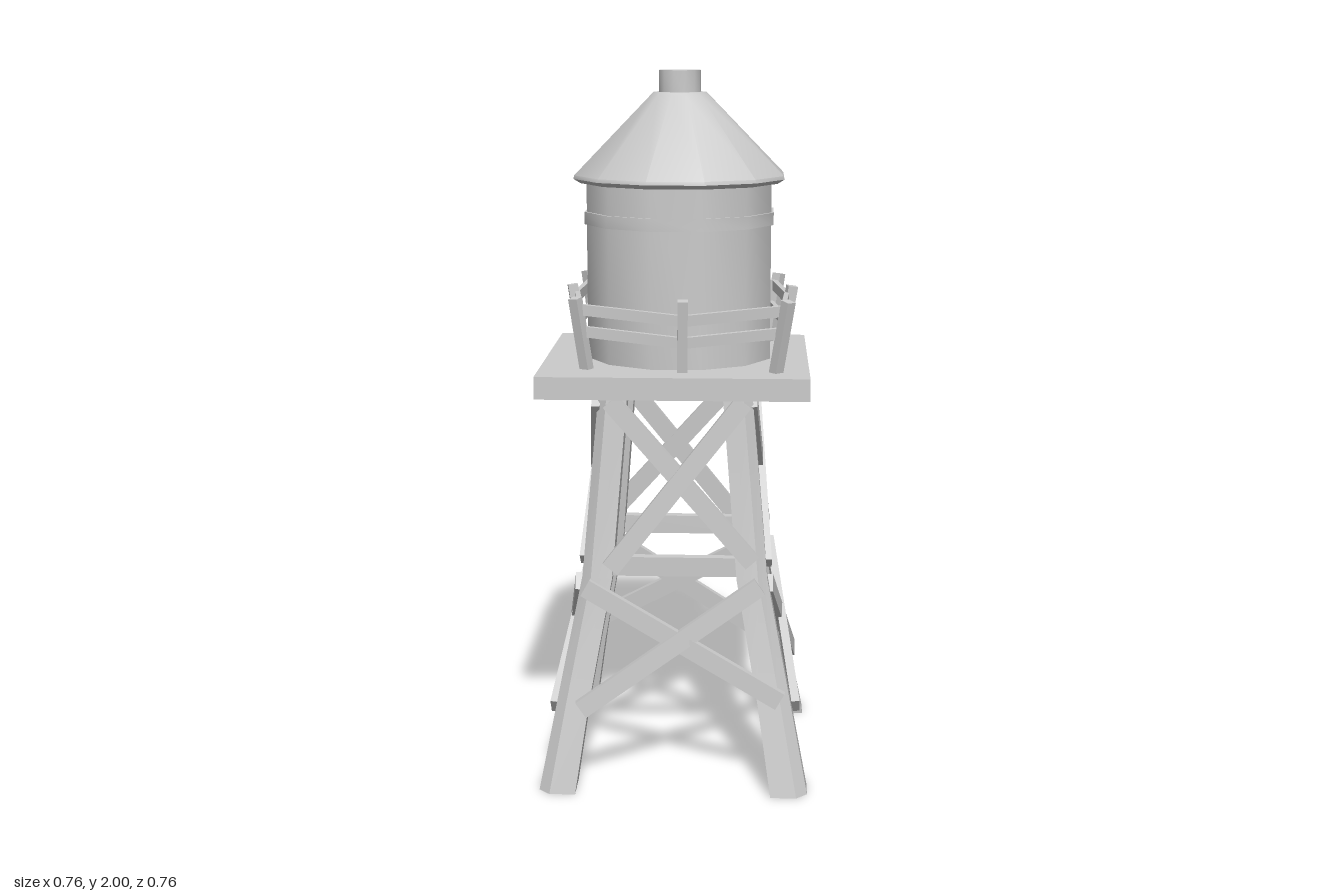
import * as THREE from 'three';
import { toCreasedNormals } from 'three/addons/utils/BufferGeometryUtils.js';

const material = new THREE.MeshStandardMaterial({ color: 0xcccccc });
const V = (x, y, z) => new THREE.Vector3(x, y, z);

function add(parent, name, geometry) {
  const mesh = new THREE.Mesh(geometry, material);
  mesh.name = name;
  parent.add(mesh);
  return mesh;
}

// Box plank running from a to b; its thin side faces "out"
function plank(parent, name, a, b, width, depth, out) {
  const dir = b.clone().sub(a);
  const length = dir.length();
  dir.normalize();
  const side = dir.clone().cross(out).normalize();
  const normal = side.clone().cross(dir);
  const mesh = add(parent, name, new THREE.BoxGeometry(width, length, depth));
  mesh.quaternion.setFromRotationMatrix(new THREE.Matrix4().makeBasis(side, dir, normal));
  mesh.position.copy(a).add(b).multiplyScalar(0.5);
  return mesh;
}

// Twelve-sided turned part with flats facing the axes
function turned(parent, name, profile) {
  const points = profile.map(([r, y]) => new THREE.Vector2(r, y));
  const geometry = new THREE.LatheGeometry(points, 12).rotateY(Math.PI / 12);
  return add(parent, name, toCreasedNormals(geometry, 0.6));
}

// Curved leg: square section with a chamfered outer corner, lofted along rings
// Each ring is [height, centre offset on x and z, half width]
function legGeometry() {
  const rings = [[0, 0.327, 0.052], [0.25, 0.284, 0.046], [0.6, 0.218, 0.043], [1.14, 0.172, 0.041]];
  const section = [[-1, -1], [1, -1], [1, 0.4], [0.4, 1], [-1, 1]];
  const n = section.length;
  const positions = [];
  const index = [];
  for (const [y, c, h] of rings) {
    for (const [u, v] of section) positions.push(c + u * h, y, c + v * h);
  }
  for (let r = 0; r < rings.length - 1; r++) {
    for (let i = 0; i < n; i++) {
      const a = r * n + i;
      const b = r * n + ((i + 1) % n);
      index.push(a, a + n, b, b, a + n, b + n);
    }
  }
  const top = (rings.length - 1) * n;
  for (let i = 1; i < n - 1; i++) {
    index.push(0, i, i + 1, top, top + i + 1, top + i);
  }
  const geometry = new THREE.BufferGeometry();
  geometry.setAttribute('position', new THREE.Float32BufferAttribute(positions, 3));
  geometry.setIndex(index);
  return toCreasedNormals(geometry, 0.5);
}

export function createModel() {
  const model = new THREE.Group();
  model.name = 'waterTower';

  // Legs
  const leg = legGeometry();
  for (let i = 0; i < 4; i++) add(model, 'leg', leg).rotation.y = i * Math.PI / 2;

  // Cross braces and a tie beam on every side; braces are [x1, y1, z1, x2, y2, z2]
  const frontBraces = [
    [-0.18, 1.1, 0.217, 0.22, 0.65, 0.255], [0.19, 1.1, 0.222, -0.18, 0.63, 0.262],
    [-0.25, 0.575, 0.266, 0.3, 0.27, 0.33], [0.24, 0.585, 0.27, -0.26, 0.24, 0.342],
  ];
  const sideBraces = [
    [-0.18, 1.1, 0.217, 0.21, 0.64, 0.257], [0.19, 1.1, 0.222, -0.19, 0.63, 0.262],
    [-0.2, 0.575, 0.266, 0.27, 0.22, 0.34], [0.22, 0.58, 0.27, -0.25, 0.225, 0.345],
  ];
  for (let i = 0; i < 4; i++) {
    const side = new THREE.Group();
    side.name = 'sideBracing';
    side.rotation.y = i * Math.PI / 2;
    for (const [x1, y1, z1, x2, y2, z2] of i % 2 ? sideBraces : frontBraces) {
      plank(side, 'crossBrace', V(x1, y1, z1), V(x2, y2, z2), 0.052, 0.024, V(0, 0, 1));
    }
    const tieY = i % 2 ? 0.655 : 0.63;
    plank(side, 'tieBeam', V(-0.2, tieY, 0.225), V(0.2, tieY, 0.225), i % 2 ? 0.068 : 0.055, 0.03, V(0, 0, 1));
    model.add(side);
  }

  // Platform
  add(model, 'platform', new THREE.BoxGeometry(0.745, 0.062, 0.73)).position.set(-0.002, 1.164, 0);

  // Tank, hoop, roof and cap
  const tank = new THREE.Group();
  tank.name = 'tank';
  tank.position.set(0.004, 0, -0.015);
  model.add(tank);
  turned(tank, 'tankWall', [[0, 1.19], [0.268, 1.19], [0.268, 1.7], [0, 1.7]]);
  turned(tank, 'hoop', [[0.266, 1.575], [0.275, 1.575], [0.275, 1.61], [0.266, 1.61]]);
  turned(tank, 'roof', [[0, 1.69], [0.285, 1.69], [0.305, 1.702], [0.303, 1.712], [0.086, 1.93], [0.076, 1.94], [0, 1.94]]);
  turned(tank, 'cap', [[0, 1.92], [0.06, 1.92], [0.06, 2], [0, 2]]);

  // Railing: posts lean outward; each is [top x, top z, twist, rail drop]
  const posts = [
    [-0.29, -0.325, 0.7, 0], [-0.005, -0.325, 0, 0.005], [0.29, -0.285, -0.6, 0], [0.325, -0.01, 0.25, 0],
    [0.31, 0.3, 0.7, -0.005], [0.025, 0.3, 0.05, 0.025], [-0.27, 0.26, -0.5, 0], [-0.305, -0.02, 0.2, 0],
  ];
  const railing = new THREE.Group();
  railing.name = 'railing';
  model.add(railing);
  const along = ([x, z], y) => {
    const s = 1 - 0.1 * (1.395 - y) / 0.2;
    return V(x * s, y, z * s);
  };
  posts.forEach((post, i) => {
    const next = posts[(i + 1) % posts.length];
    const twist = V(Math.sin(post[2]), 0, Math.cos(post[2]));
    plank(railing, 'railPost', along(post, 1.19), along(post, 1.395), 0.028, 0.028, twist);
    for (const y of [1.362, 1.3]) {
      const a = along(post, y - post[3]).multiply(V(0.97, 1, 0.97));
      const b = along(next, y - next[3]).multiply(V(0.97, 1, 0.97));
      const out = V(a.x + b.x, 0, a.z + b.z).normalize();
      plank(railing, 'rail', a, b, 0.03, 0.014, out);
    }
  });

  return model;
}
